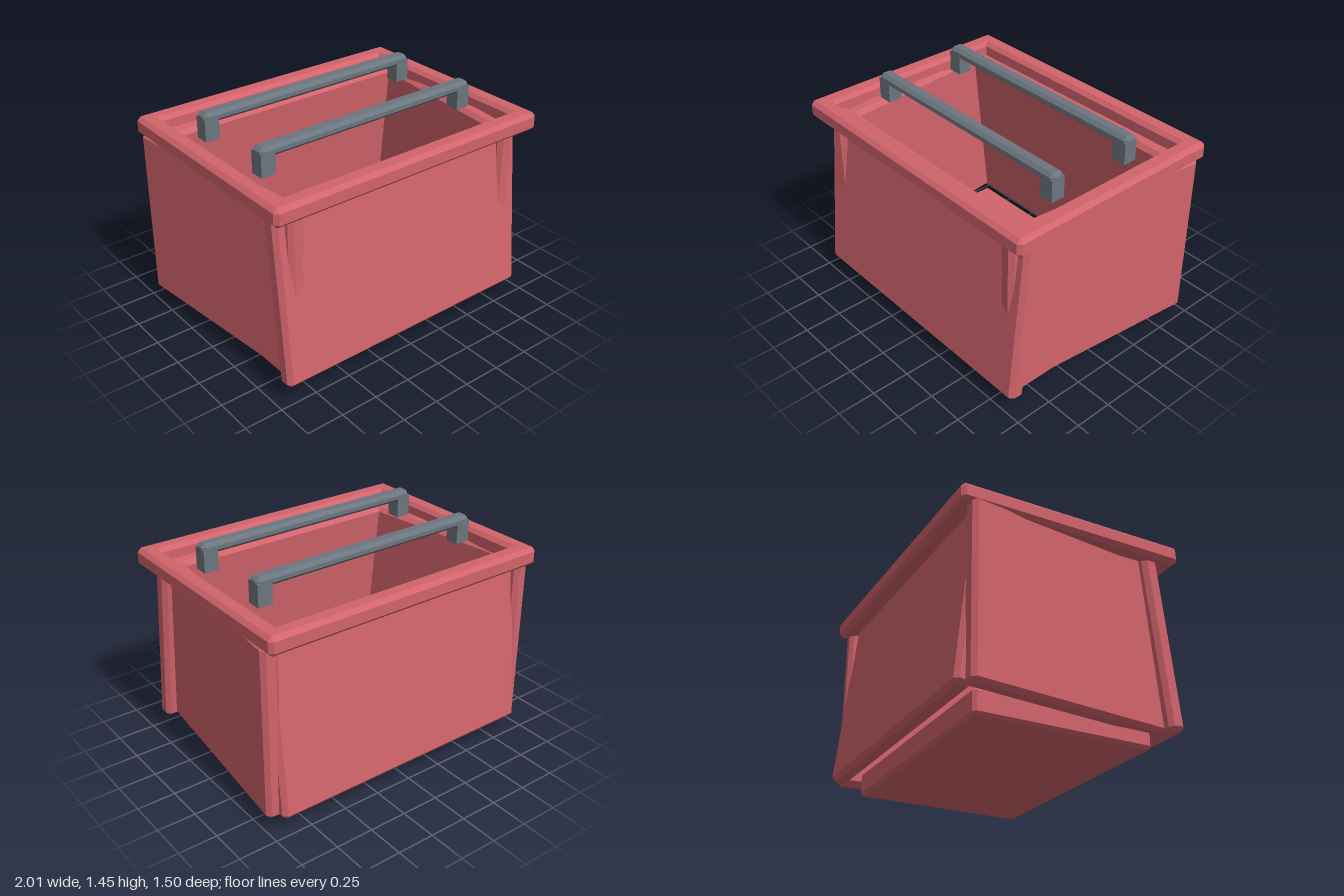
import * as THREE from 'three';
import { ConvexGeometry } from 'three/addons/geometries/ConvexGeometry.js';

// Box with every edge cut at 45 degrees
function chamferedBox(w, h, d, c) {
  const points = [];
  for (const sx of [-1, 1]) for (const sy of [-1, 1]) for (const sz of [-1, 1]) {
    const x = w / 2, y = h / 2, z = d / 2;
    points.push(
      new THREE.Vector3(sx * x, sy * (y - c), sz * (z - c)),
      new THREE.Vector3(sx * (x - c), sy * y, sz * (z - c)),
      new THREE.Vector3(sx * (x - c), sy * (y - c), sz * z)
    );
  }
  return new ConvexGeometry(points);
}

export function createModel() {
  const model = new THREE.Group();
  model.name = 'crate';
  const red = new THREE.MeshStandardMaterial({ color: 0xd2646c, flatShading: true });
  red.name = 'red plastic';
  const grey = new THREE.MeshStandardMaterial({ color: 0x6c767e, flatShading: true });
  grey.name = 'grey metal';

  function add(name, size, chamfer, position, material = red, parent = model) {
    const mesh = new THREE.Mesh(chamferedBox(...size, chamfer), material);
    mesh.name = name;
    mesh.position.set(...position);
    parent.add(mesh);
    return mesh;
  }

  // Base slab, which is also the floor
  add('base', [1.64, 0.16, 1.16], 0.02, [0, 0.08, 0]);

  const tilt = THREE.MathUtils.degToRad(6);
  for (const s of [1, -1]) {
    const end = s > 0 ? 'front' : 'back';
    const side = s > 0 ? 'left' : 'right';

    // End walls lean in towards the top
    add(end + 'Wall', [1.87, 1.15, 0.11], 0.027, [0, 0.672, s * 0.635]).rotation.x = -s * tilt;

    // Side walls stand upright and converge towards the front
    add(side + 'Wall', [0.11, 1.14, 1.38], 0.027, [s * 0.88, 0.67, 0]).rotation.y = -s * tilt;

    // Rim bars
    add(end + 'Rim', [1.99, 0.12, 0.122], 0.025, [0, 1.26, s * 0.689]);
    add(side + 'Rim', [0.122, 0.12, 1.5], 0.025, [s * 0.934, 1.26, 0]);

    // Handle: a bar on two short legs
    const handle = new THREE.Group();
    handle.name = end + 'Handle';
    handle.position.z = s * 0.29;
    model.add(handle);
    add('handleBar', [1.6, 0.07, 0.095], 0.022, [0, 1.415, 0], grey, handle);
    for (const x of [-0.75, 0.75]) {
      const leg = new THREE.Mesh(new THREE.BoxGeometry(0.098, 0.145, 0.094), grey);
      leg.name = 'handleLeg';
      leg.position.set(x, 1.345, 0);
      handle.add(leg);
    }
  }
  return model;
}
